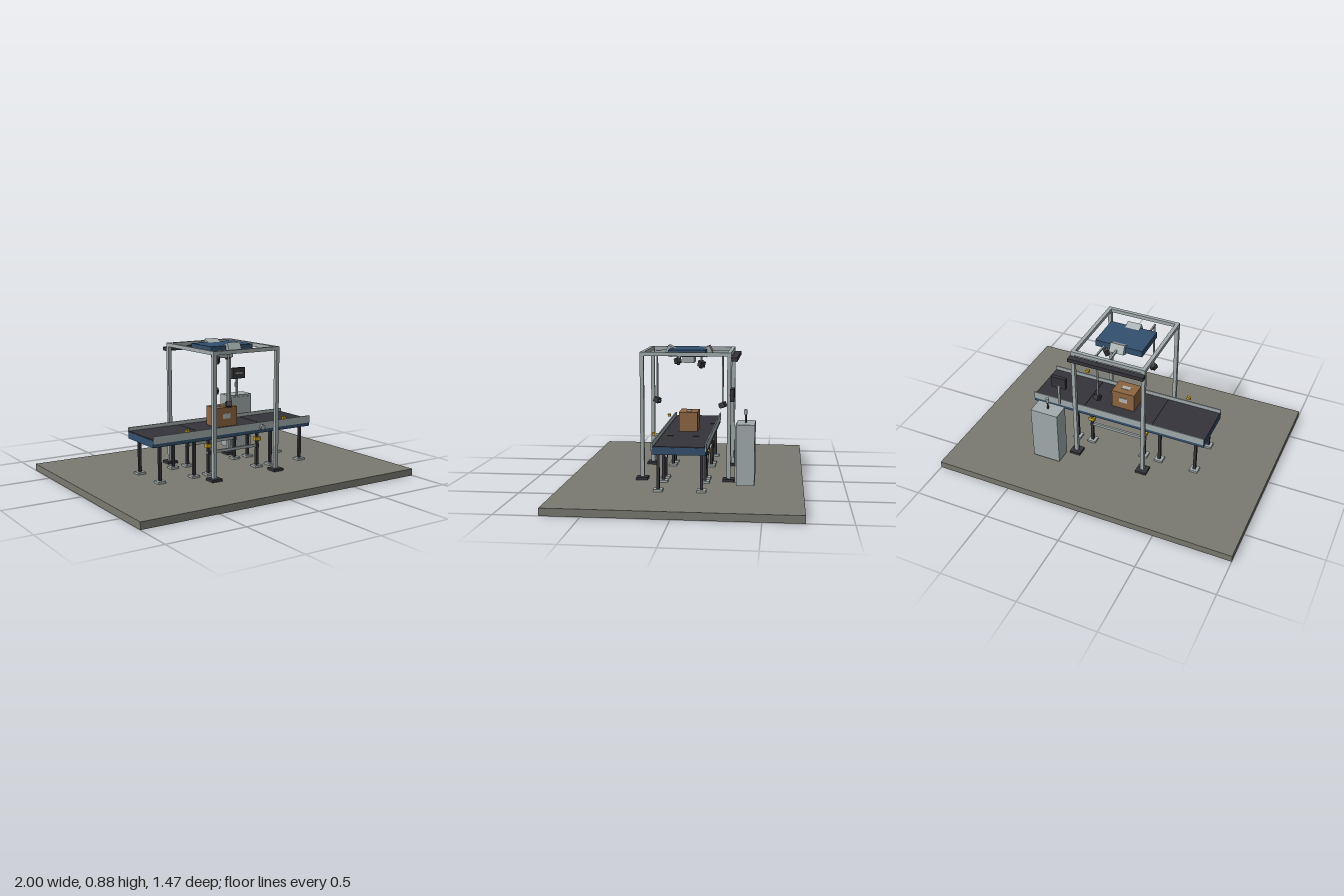
import * as THREE from 'three';

const mat = (name, hex) => {
  const m = new THREE.MeshStandardMaterial({ color: hex });
  m.name = name;
  return m;
};

export function createModel() {
  const model = new THREE.Group();
  model.name = 'packageScanningStation';
  const floorGrey = mat('floorGrey', 0x7a7a72);
  const steel = mat('steel', 0xa3acad);
  const blue = mat('blue', 0x33506e);
  const dark = mat('dark', 0x35343a);
  const cardboard = mat('cardboard', 0x8f6641);
  const yellow = mat('yellow', 0xcca41f);
  const label = mat('label', 0xb4b6b2);

  const add = (name, geometry, material, x, y, z, parent = model) => {
    const mesh = new THREE.Mesh(geometry, material);
    mesh.name = name;
    mesh.position.set(x, y, z);
    parent.add(mesh);
    return mesh;
  };
  const box = (name, material, w, h, d, x, y, z, parent) =>
    add(name, new THREE.BoxGeometry(w, h, d), material, x, y, z, parent);
  // Upright rod between two heights
  const rod = (name, material, r, x, y0, y1, z, parent) =>
    add(name, new THREE.CylinderGeometry(r, r, y1 - y0, 16), material, x, (y0 + y1) / 2, z, parent);

  box('floorSlab', floorGrey, 2, 0.045, 1.47, 0, 0.0225, 0);

  // Conveyor: three sections, each with a bed, belt and two pairs of legs
  const conveyor = new THREE.Group();
  conveyor.name = 'conveyor';
  model.add(conveyor);
  const sections = [
    { from: -0.6, to: -0.24, legs: [-0.54, -0.295] },
    { from: -0.24, to: 0.24, legs: [-0.187, 0.187] },
    { from: 0.24, to: 0.6, legs: [0.295, 0.54] },
  ];
  for (const { from, to, legs } of sections) {
    const mid = (from + to) / 2, length = to - from;
    box('conveyorBed', blue, length, 0.044, 0.32, mid, 0.299, 0, conveyor);
    box('belt', dark, length - 0.004, 0.005, 0.3, mid, 0.3235, 0, conveyor);
    for (const z of [-0.13, 0.13]) {
      for (const x of legs) {
        box('conveyorLeg', dark, 0.018, 0.225, 0.018, x, 0.167, z, conveyor);
        box('conveyorFoot', steel, 0.055, 0.014, 0.055, x, 0.052, z, conveyor);
      }
    }
  }
  for (const s of [-1, 1]) {
    box('sideRail', steel, 1.2, 0.048, 0.008, 0, 0.324, s * 0.16, conveyor);
    box('crossBrace', steel, 0.4, 0.018, 0.014, 0, 0.19, s * 0.13, conveyor);
    for (const x of [-0.187, 0.187]) {
      box('braceCollar', dark, 0.022, 0.022, 0.022, x, 0.185, s * 0.13, conveyor);
      box('yellowClamp', yellow, 0.042, 0.024, 0.03, x, 0.235, s * 0.133, conveyor);
    }
    box('beamSensor', yellow, 0.024, 0.016, 0.02, s * 0.37, 0.36, 0.18, conveyor);
  }
  const button = add('controlButton', new THREE.CylinderGeometry(0.017, 0.017, 0.015, 24), steel, 0.195, 0.317, 0.182, conveyor);
  button.rotation.x = Math.PI / 2;

  // Parcel with labels on the top, front and back
  const parcel = new THREE.Group();
  parcel.name = 'parcel';
  model.add(parcel);
  box('carton', cardboard, 0.158, 0.124, 0.12, -0.002, 0.388, 0, parcel);
  box('topLabel', label, 0.06, 0.004, 0.03, -0.002, 0.451, 0, parcel);
  for (const s of [-1, 1]) box('sideLabel', label, 0.058, 0.034, 0.004, -0.004, 0.393, s * 0.061, parcel);

  // Gantry frame
  const gantry = new THREE.Group();
  gantry.name = 'gantry';
  model.add(gantry);
  const gx = 0.235, gz = 0.272, t = 0.024;
  for (const s of [-1, 1]) {
    for (const z of [-gz, gz]) {
      box('gantryPost', steel, t, 0.79, t, s * gx, 0.443, z, gantry);
      box('gantryFoot', dark, 0.073, 0.016, 0.073, s * gx, 0.053, z, gantry);
    }
    box('gantrySideBeam', steel, t, t, 2 * gz + t, s * gx, 0.838, 0, gantry);
    box('gantryCrossBeam', steel, 2 * gx - t, t, t, 0, 0.838, s * gz, gantry);
  }
  box('rearLightBar', dark, 0.5, 0.024, 0.04, 0, 0.808, -0.302, gantry);

  // Overhead scanner
  const scanner = new THREE.Group();
  scanner.name = 'overheadScanner';
  model.add(scanner);
  box('scannerPlate', blue, 0.315, 0.042, 0.235, 0, 0.836, 0, scanner);
  box('scannerHead', steel, 0.12, 0.05, 0.074, 0, 0.793, 0, scanner);
  box('scannerArm', steel, 0.012, 0.012, 0.14, 0, 0.838, -0.2, scanner);
  for (const s of [-1, 1]) {
    const head = box('tiltedHead', steel, 0.095, 0.06, 0.05, 0, 0.84, s * 0.122, scanner);
    head.rotation.x = s * -0.45;
  }

  // Cameras hanging on rods and aimed at the parcel
  const target = new THREE.Vector3(0, 0.4, 0);
  const camera = (x, y, z, top) => {
    const group = new THREE.Group();
    group.name = 'hangingCamera';
    model.add(group);
    rod('cameraRod', steel, 0.006, x, y + 0.01, top, z, group);
    const body = new THREE.Group();
    body.name = 'cameraHead';
    body.position.set(x, y, z);
    group.add(body);
    body.lookAt(target);
    box('cameraBody', dark, 0.036, 0.034, 0.036, 0, 0, -0.002, body);
    const lens = add('cameraLens', new THREE.CylinderGeometry(0.011, 0.011, 0.01, 20), dark, 0, 0, 0.02, body);
    lens.rotation.x = Math.PI / 2;
  };
  for (const s of [-1, 1]) {
    camera(s * -0.097, 0.505, s * 0.223, 0.83);
    camera(s * -0.097, 0.764, s * 0.087, 0.82);
    box('cameraArm', steel, 0.01, 0.01, 0.13, s * -0.097, 0.828, s * 0.17);
  }

  // Control cabinet with door, handle and signal lamp
  const cabinet = new THREE.Group();
  cabinet.name = 'controlCabinet';
  model.add(cabinet);
  box('cabinetBody', steel, 0.185, 0.37, 0.11, 0.372, 0.255, -0.385, cabinet);
  box('cabinetDoor', steel, 0.16, 0.34, 0.008, 0.372, 0.257, -0.326, cabinet);
  box('doorHandle', dark, 0.008, 0.04, 0.008, 0.435, 0.258, -0.318, cabinet);
  rod('lampStem', dark, 0.006, 0.372, 0.44, 0.495, -0.382, cabinet);
  rod('lampCap', steel, 0.011, 0.372, 0.49, 0.52, -0.382, cabinet);

  // Operator monitor
  const monitor = new THREE.Group();
  monitor.name = 'operatorMonitor';
  model.add(monitor);
  box('monitorPole', steel, 0.014, 0.145, 0.012, 0.326, 0.512, -0.309, monitor);
  box('monitorCase', dark, 0.1, 0.076, 0.024, 0.329, 0.602, -0.298, monitor);
  box('monitorStrip', label, 0.055, 0.008, 0.004, 0.329, 0.603, -0.285, monitor);

  return model;
}
